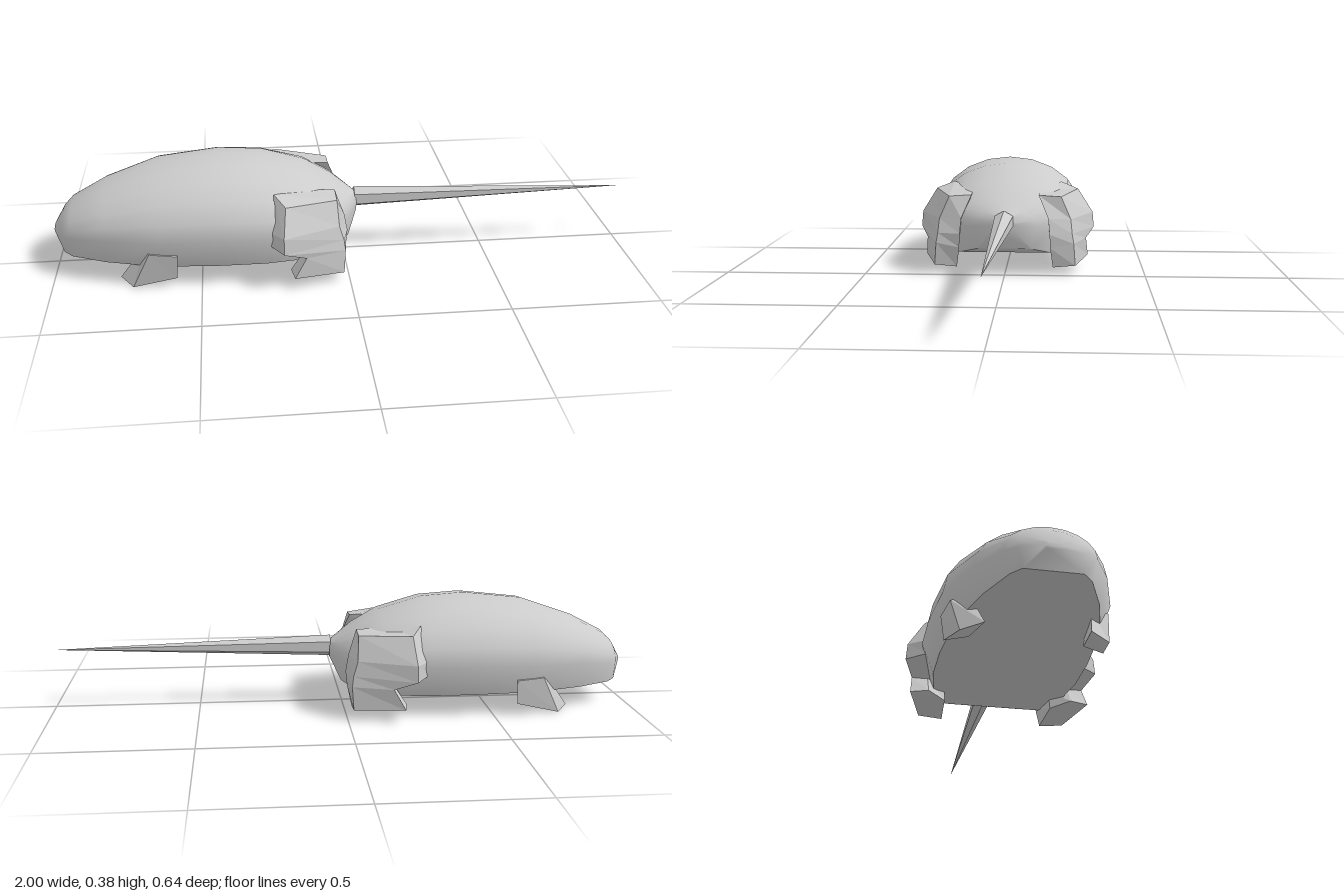
import * as THREE from 'three';
import { toCreasedNormals } from 'three/addons/utils/BufferGeometryUtils.js';

// Skin closed rings of [x, y, z] points and cap both ends
function loft(rings) {
  const n = rings[0].length, last = (rings.length - 1) * n, index = [];
  for (let i = 0; i < rings.length - 1; i++) {
    for (let j = 0; j < n; j++) {
      const a = i * n + j, b = i * n + (j + 1) % n;
      index.push(a, b, a + n, b, b + n, a + n);
    }
  }
  for (let j = 1; j < n - 1; j++) {
    index.push(0, j + 1, j, last, last + j, last + j + 1);
  }
  const geo = new THREE.BufferGeometry();
  geo.setAttribute('position', new THREE.Float32BufferAttribute(rings.flat(2), 3));
  geo.setIndex(index);
  geo.computeVertexNormals();
  return geo;
}

const mirrorZ = (rings) => rings.map((r) => r.map(([x, y, z]) => [x, y, -z]).reverse());

export function createModel() {
  const group = new THREE.Group();
  const smooth = new THREE.MeshStandardMaterial({ color: 0xcccccc });
  const flat = new THREE.MeshStandardMaterial({ color: 0xcccccc, flatShading: true });
  const add = (name, geo, mat) => {
    const mesh = new THREE.Mesh(geo, mat);
    mesh.name = name;
    group.add(mesh);
    return mesh;
  };

  // Body: domed sections with a flat belly [x, top, widest height, half width, belly]
  const sections = [
    [-1, 0.15, 0.14, 0.03, 0.13], [-0.965, 0.21, 0.145, 0.1, 0.08],
    [-0.935, 0.24, 0.15, 0.135, 0.077], [-0.82, 0.3, 0.165, 0.195, 0.075],
    [-0.64, 0.362, 0.175, 0.257, 0.075], [-0.43, 0.385, 0.18, 0.275, 0.075],
    [-0.28, 0.374, 0.18, 0.275, 0.075], [-0.13, 0.33, 0.18, 0.25, 0.075],
    [-0.04, 0.28, 0.18, 0.19, 0.078], [0.01, 0.245, 0.18, 0.11, 0.1],
    [0.045, 0.22, 0.19, 0.04, 0.17],
  ];
  const body = sections.map(([x, top, mid, w, belly]) => {
    const ring = [];
    for (let k = 0; k <= 10; k++) {
      const t = (k / 10) * Math.PI;
      ring.push([x, mid + (top - mid) * Math.sin(t), -w * Math.cos(t)]);
    }
    ring.push([x, belly, 0.86 * w], [x, belly, -0.86 * w]);
    return ring;
  });
  add('body', toCreasedNormals(loft(body), 0.85), smooth);

  // Tail: thin six-sided spike
  const tailGeo = new THREE.ConeGeometry(0.037, 0.96, 6);
  tailGeo.rotateY(Math.PI / 2).rotateZ(-Math.PI / 2).translate(0.48, 0, 0);
  const tail = add('tail', tailGeo, flat);
  tail.position.set(0.04, 0.203, 0);
  tail.rotation.y = -0.01;

  // Hind leg: bent plate wrapping the haunch, foot to hip
  const hindLeg = [
    [[-0.2, 0.05, 0.24], [-0.19, 0.045, 0.3], [-0.02, 0.035, 0.252], [-0.02, 0.028, 0.172], [-0.15, 0.04, 0.18]],
    [[-0.16, 0.11, 0.24], [-0.15, 0.115, 0.292], [-0.015, 0.115, 0.246], [-0.005, 0.1, 0.162], [-0.13, 0.11, 0.18]],
    [[-0.27, 0.15, 0.255], [-0.225, 0.145, 0.322], [-0.02, 0.15, 0.24], [0, 0.15, 0.16], [-0.14, 0.15, 0.16]],
    [[-0.27, 0.2, 0.255], [-0.225, 0.2, 0.317], [-0.035, 0.2, 0.235], [-0.01, 0.205, 0.155], [-0.15, 0.2, 0.15]],
    [[-0.25, 0.31, 0.2], [-0.215, 0.288, 0.262], [-0.04, 0.28, 0.2], [-0.04, 0.285, 0.12], [-0.16, 0.29, 0.12]],
  ];

  // Front leg: short forward-raked block splayed outwards
  const frontLeg = [
    [[-0.775, 0.01, 0.155], [-0.73, 0.002, 0.22], [-0.58, 0.042, 0.245], [-0.61, 0.045, 0.175]],
    [[-0.69, 0.13, 0.18], [-0.67, 0.13, 0.24], [-0.575, 0.125, 0.255], [-0.59, 0.13, 0.19]],
  ];

  for (const [name, rings] of [['HindLeg', hindLeg], ['FrontLeg', frontLeg]]) {
    add('left' + name, loft(rings), flat);
    add('right' + name, loft(mirrorZ(rings)), flat);
  }
  return group;
}
